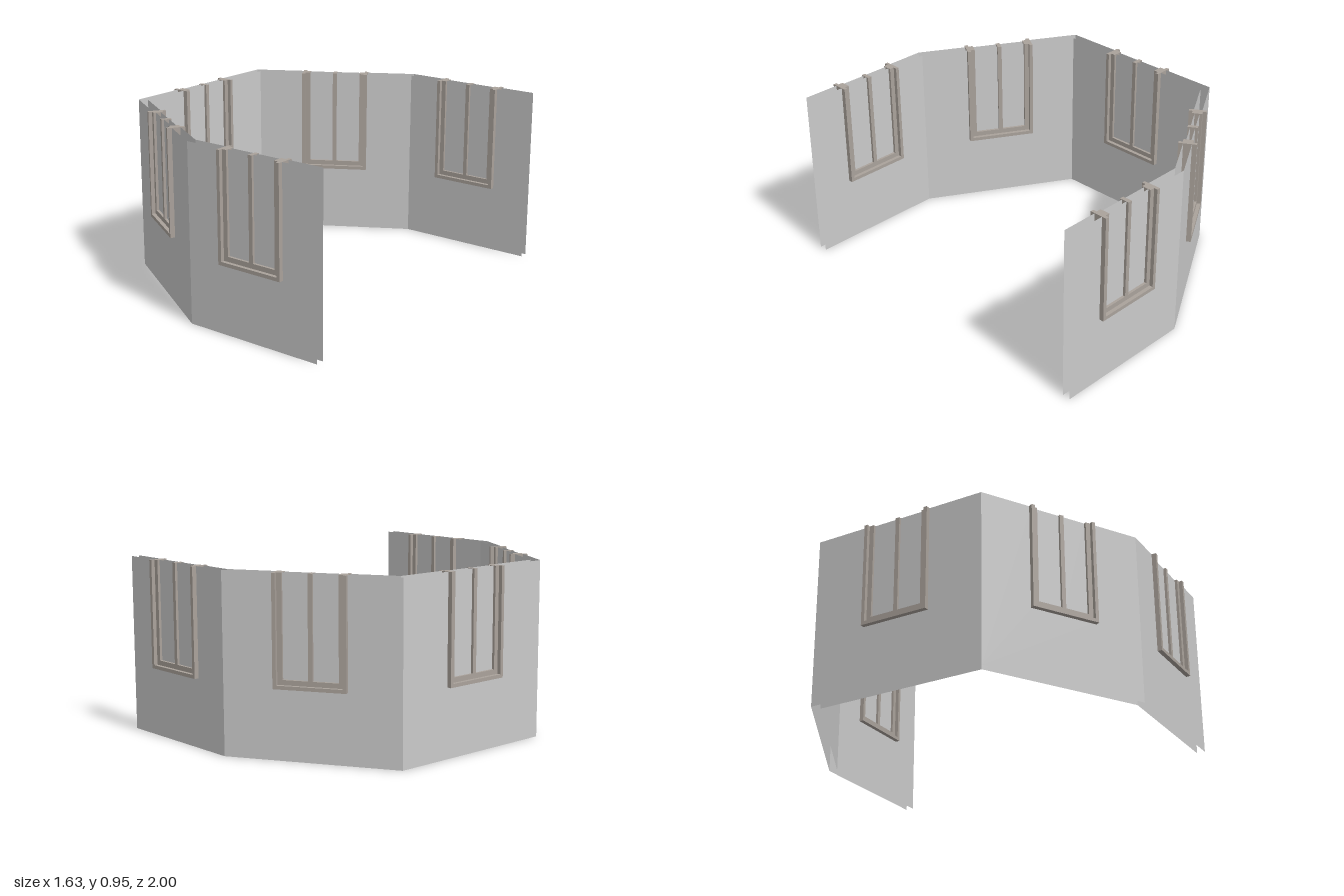
import * as THREE from 'three';

const HEIGHT = 0.95;      // wall and frame top
const HALF_WALL = 0.0225; // each wall skin sits this far from the centre line

const wallGrey = new THREE.MeshStandardMaterial({ color: 0xcacaca, side: THREE.DoubleSide });
wallGrey.name = 'wallGrey';
const frameTaupe = new THREE.MeshStandardMaterial({ color: 0xaaa29b });
frameTaupe.name = 'frameTaupe';

// Plan of the wall centre line as [x, z], walked from the back end to the front end
const PLAN = [[0.812, -0.95], [0.02, -0.95], [-0.77, -0.485], [-0.77, 0.485], [0.02, 0.95], [0.812, 0.95]];

function add(group, name, geometry, material) {
  const mesh = new THREE.Mesh(geometry, material);
  mesh.name = name;
  group.add(mesh);
  return mesh;
}

function polygon(points) {
  return new THREE.Shape(points.map(([x, y]) => new THREE.Vector2(x, y)));
}

// U-shaped frame, open at the top, centred on the wall line
function uFrame(half, bottom, thickness, depth) {
  const inner = half - thickness, sill = bottom + thickness;
  const shape = polygon([
    [-half, bottom], [half, bottom], [half, HEIGHT], [inner, HEIGHT],
    [inner, sill], [-inner, sill], [-inner, HEIGHT], [-half, HEIGHT],
  ]);
  return new THREE.ExtrudeGeometry(shape, { depth, bevelEnabled: false }).translate(0, 0, -depth / 2);
}

// One flat wall skin with a notch for the window
function wallSkin(x0, x1) {
  const notch = 0.18, sill = 0.38;
  return new THREE.ShapeGeometry(polygon([
    [x0, 0], [x1, 0], [x1, HEIGHT], [notch, HEIGHT],
    [notch, sill], [-notch, sill], [-notch, HEIGHT], [x0, HEIGHT],
  ]));
}

function makeWindow() {
  const group = new THREE.Group();
  group.name = 'window';
  add(group, 'outerFrame', uFrame(0.192, 0.37, 0.019, 0.095), frameTaupe);
  add(group, 'sash', uFrame(0.173, 0.389, 0.026, 0.054), frameTaupe);
  const barHeight = HEIGHT - 0.415;
  add(group, 'mullion', new THREE.BoxGeometry(0.023, barHeight, 0.054), frameTaupe)
    .position.y = 0.415 + barHeight / 2;
  // Recessed double panes on both sides of the mullion
  for (const side of [-1, 1]) {
    for (const z of [-0.013, 0.013]) {
      add(group, 'pane', new THREE.PlaneGeometry(0.1355, barHeight), wallGrey)
        .position.set(side * 0.07925, 0.415 + barHeight / 2, z);
    }
  }
  return group;
}

export function createModel() {
  const model = new THREE.Group();
  model.name = 'bayWall';

  // Heading of each wall panel; local z points outward
  const headings = PLAN.slice(1).map(([x, z], i) => Math.atan2(z - PLAN[i][1], x - PLAN[i][0]));
  // Mitre factor at each plan corner, zero at the free ends
  const mitres = PLAN.map((_, i) => {
    if (i === 0 || i === PLAN.length - 1) return 0;
    const turn = headings[i] - headings[i - 1];
    return Math.tan(Math.abs(Math.atan2(Math.sin(turn), Math.cos(turn))) / 2);
  });

  headings.forEach((heading, i) => {
    const [ax, az] = PLAN[i], [bx, bz] = PLAN[i + 1];
    const half = Math.hypot(bx - ax, bz - az) / 2;
    const panel = new THREE.Group();
    panel.name = 'wallPanel';
    panel.position.set((ax + bx) / 2, 0, (az + bz) / 2);
    panel.rotation.y = -heading;

    for (const offset of [-HALF_WALL, HALF_WALL]) {
      const skin = wallSkin(-half - offset * mitres[i], half + offset * mitres[i + 1]);
      add(panel, offset > 0 ? 'outerWall' : 'innerWall', skin, wallGrey).position.z = offset;
    }
    panel.add(makeWindow());
    model.add(panel);
  });
  return model;
}
